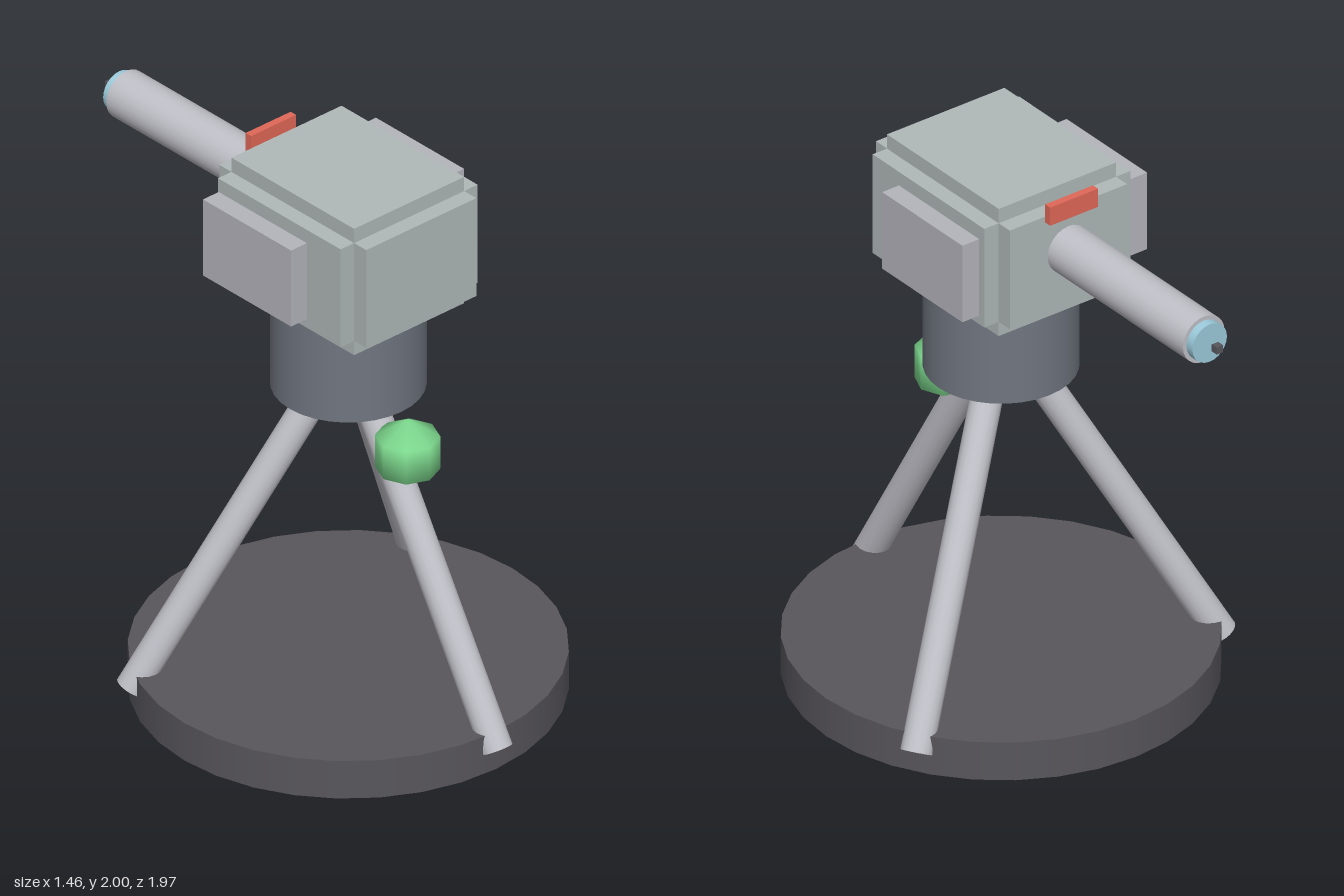
import * as THREE from 'three';

const CZ = 0.205; // z of the tripod axis

function mat(color) {
  return new THREE.MeshStandardMaterial({ color });
}

export function createModel() {
  const model = new THREE.Group();
  const bodyMat = mat(0xb0b8b8), panelMat = mat(0xb4b4bc), legMat = mat(0xc0c0c8);
  const darkMat = mat(0x58565c), collarMat = mat(0x707680);

  function add(name, geometry, material, x, y, z) {
    const mesh = new THREE.Mesh(geometry, material);
    mesh.name = name;
    mesh.position.set(x, y, z);
    model.add(mesh);
    return mesh;
  }
  const box = (name, w, h, d, material, x, y, z) =>
    add(name, new THREE.BoxGeometry(w, h, d), material, x, y, z);

  // Cylinder spanning two points
  function rod(name, a, b, r, sides, material) {
    const dir = b.clone().sub(a);
    const mid = a.clone().add(b).multiplyScalar(0.5);
    const mesh = add(name, new THREE.CylinderGeometry(r, r, dir.length(), sides), material, mid.x, mid.y, mid.z);
    mesh.quaternion.setFromUnitVectors(new THREE.Vector3(0, 1, 0), dir.normalize());
    return mesh;
  }

  // Round base and the collar that carries the head
  add('base', new THREE.CylinderGeometry(0.73, 0.73, 0.145, 32), darkMat, 0, 0.0725, CZ);
  add('collar', new THREE.CylinderGeometry(0.26, 0.26, 0.39, 32), collarMat, 0, 1.365, CZ);

  // Three splayed legs, one to the front and two to the back
  for (let i = 0; i < 3; i++) {
    const a = (i * Math.PI * 2) / 3;
    const at = (r, y) => new THREE.Vector3(Math.sin(a) * r, y, CZ + Math.cos(a) * r);
    rod('leg' + (i + 1), at(0.733, 0.078), at(0.015, 1.3), 0.055, 16, legMat);
  }

  // Stepped head: three overlapping blocks
  box('headCoreWide', 0.61, 0.38, 0.605, bodyMat, 0, 1.755, 0.2025);
  box('headCoreTall', 0.49, 0.49, 0.605, bodyMat, 0, 1.755, 0.2025);
  box('headCoreLong', 0.49, 0.38, 0.725, bodyMat, 0, 1.755, 0.2025);

  // Side panels
  for (const s of [1, -1]) {
    box(s > 0 ? 'leftPanel' : 'rightPanel', 0.07, 0.295, 0.435, panelMat, s * 0.35, 1.755, 0.132);
  }

  // Barrel with lens and front bead
  const p = (z) => new THREE.Vector3(0, 1.786, z);
  rod('barrel', p(-0.893), p(-0.1), 0.087, 24, legMat);
  rod('lens', p(-0.925), p(-0.88), 0.072, 24, mat(0x9ccbdc));
  box('bead', 0.027, 0.027, 0.027, darkMat, 0, 1.786, -0.967);

  // Red indicator bar above the barrel
  box('indicator', 0.2, 0.07, 0.027, mat(0xe06858), 0, 1.96, -0.177);

  // Faceted green bulb on the front leg
  add('bulb', new THREE.SphereGeometry(0.125, 8, 3), mat(0x7fdc90), 0, 1.032, 0.498);

  return model;
}
